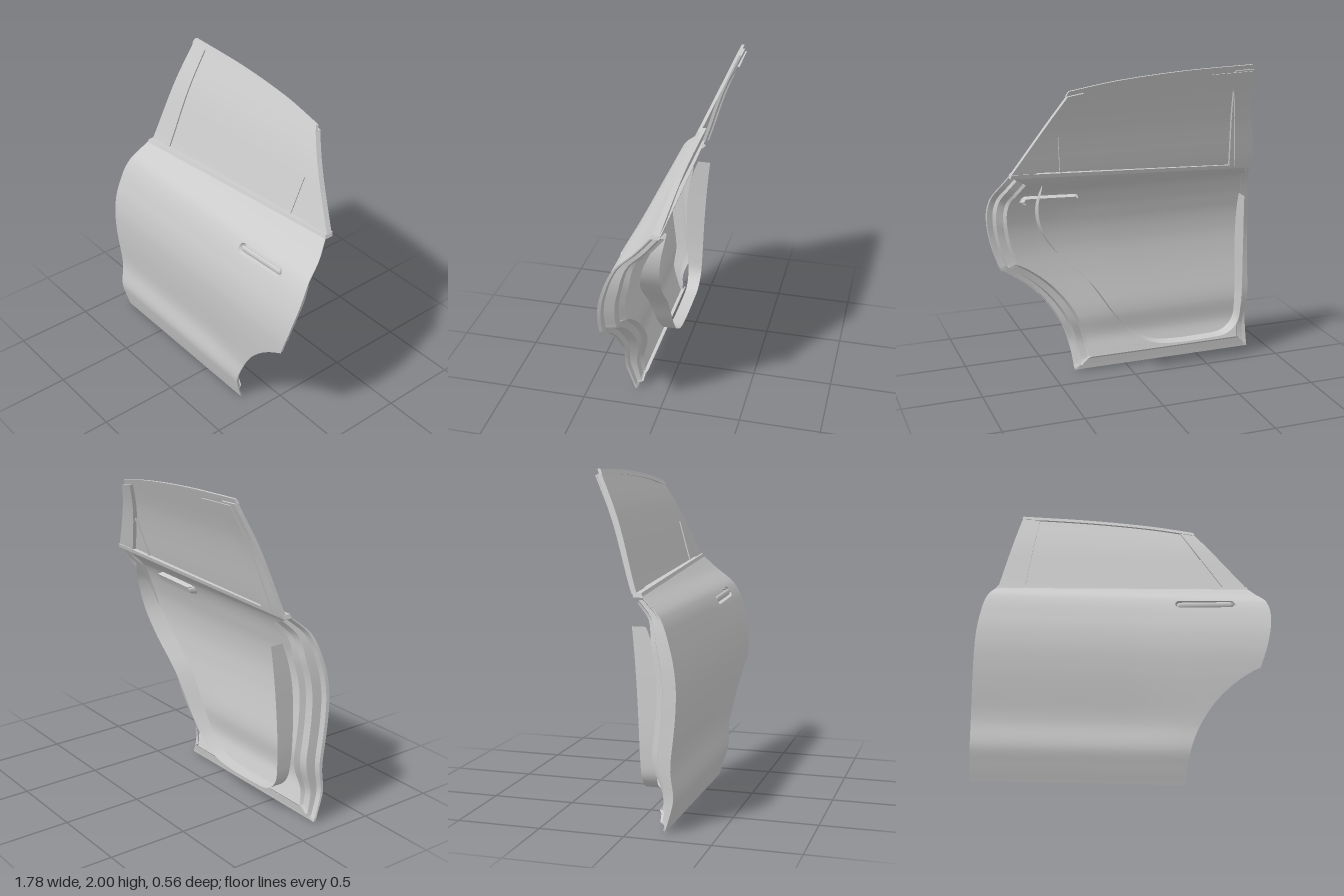
import * as THREE from 'three';
import { mergeGeometries, toCreasedNormals } from 'three/addons/utils/BufferGeometryUtils.js';

const grey = new THREE.MeshStandardMaterial({ color: 0xcccccc, side: THREE.DoubleSide });
const { lerp, clamp, smoothstep: smooth } = THREE.MathUtils;

// Smooth curve through [t, value] pairs
function through(pts) {
  const slope = (i) => {
    const a = pts[Math.max(i - 1, 0)], b = pts[Math.min(i + 1, pts.length - 1)];
    return (b[1] - a[1]) / (b[0] - a[0]);
  };
  return (t) => {
    let i = 0;
    while (i < pts.length - 2 && t > pts[i + 1][0]) i++;
    const [t0, p0] = pts[i], [t1, p1] = pts[i + 1], h = t1 - t0;
    const s = clamp((t - t0) / h, 0, 1), s2 = s * s, s3 = s2 * s;
    return (2 * s3 - 3 * s2 + 1) * p0 + (s3 - 2 * s2 + s) * h * slope(i)
      + (3 * s2 - 2 * s3) * p1 + (s3 - s2) * h * slope(i + 1);
  };
}

// Surface patch from f(u, v) -> [x, y, z]
function patch(f, nu, nv) {
  const pos = [], index = [];
  for (let j = 0; j <= nv; j++) for (let i = 0; i <= nu; i++) pos.push(...f(i / nu, j / nv));
  for (let j = 0; j < nv; j++) for (let i = 0; i < nu; i++) {
    const a = j * (nu + 1) + i, c = a + nu + 1;
    index.push(a, a + 1, c, a + 1, c + 1, c);
  }
  const geo = new THREE.BufferGeometry();
  geo.setAttribute('position', new THREE.Float32BufferAttribute(pos, 3));
  geo.setIndex(index);
  geo.computeVertexNormals();
  return geo;
}

// Region between two side edges and two height curves, laid on a z surface
function region(xl, xr, y0, y1, z) {
  return (u, v) => {
    const x = lerp(xl(v), xr(v), u), y = lerp(y0(x), y1(x), v);
    return [x, y, z(x, y)];
  };
}

// Closed slab: front, back and four edge walls
function slab(f, thick, nu, nv) {
  const at = (u, v, w) => { const [x, y, z] = f(u, v); return [x, y, z - w * thick]; };
  return mergeGeometries([
    patch((u, v) => at(u, v, 0), nu, nv),
    patch((u, v) => at(1 - u, v, 1), nu, nv),
    patch((u, w) => at(u, 0, 1 - w), nu, 1),
    patch((u, w) => at(u, 1, w), nu, 1),
    patch((v, w) => at(0, v, w), nv, 1),
    patch((v, w) => at(1, v, 1 - w), nv, 1),
  ]);
}

// Door outline
const belt = (x) => 1.31 + 0.08 * (x + 0.79) / 1.59;
const frontEdge = through([[0, -0.88], [0.6, -0.89], [0.9, -0.885], [1.1, -0.86], [1.2, -0.835], [1.31, -0.79]]);
const rearUpper = through([[0.71, 0.8], [0.9, 0.86], [1.1, 0.89], [1.25, 0.865], [1.39, 0.8]]);
const rearEdge = (y) => (y < 0.71 ? 1.135 - Math.sqrt(0.785 ** 2 - y * y) : rearUpper(y));
const roof = through([[-0.65, 2], [-0.2, 1.985], [0.2, 1.95], [0.5, 1.9]]);

// Outward bulge of the lower skin and of the window plane
const skinProfile = through([[0, 0.2], [0.1, 0.23], [0.2, 0.255], [0.35, 0.252], [0.68, 0.277],
  [0.85, 0.277], [1.02, 0.245], [1.2, 0.165], [1.31, 0.045], [1.4, -0.04]]);
function skinZ(x, y) {
  const front = 1 - smooth(x, 0, 0.6);
  return skinProfile(y) - front * (0.012 * smooth(y, 0.3, 0.6) * (1 - smooth(y, 1, 1.3))
    + 0.016 * Math.exp(-(((y - 0.37) / 0.14) ** 2)));
}
const windowProfile = through([[1.25, 0.04], [1.35, 0], [1.72, -0.12], [2, -0.245]]);
const windowZ = (d) => (x, y) => windowProfile(y) - 0.018 * (x + 0.7) + d;

// Lower skin with a handle pocket pressed into it
function skinGeometry() {
  const base = region((v) => frontEdge(v * 1.31), (v) => rearEdge(v * 1.39), () => 0, belt, skinZ);
  const geo = patch((u, v) => {
    let [x, y] = base(u, v);
    const s = clamp((x - 0.34) / 0.31, 0, 1);
    const cx = 0.34 + 0.31 * s, cy = 1.158 + 0.015 * s;
    const r = Math.hypot(x - cx, y - cy), d = r - 0.031;
    if (Math.abs(d) < 0.0065) {
      x = cx + (x - cx) * 0.031 / r;
      y = cy + (y - cy) * 0.031 / r;
    }
    return [x, y, skinZ(x, y) - (d <= -0.0065 ? 0.042 : 0)];
  }, 150, 125);
  return toCreasedNormals(geo, 0.6);
}

// Folded jamb running down the front, along the bottom and up the rear
function jambGeometry() {
  const path = [];
  for (let i = 0; i < 40; i++) { const y = 1.3 * (1 - i / 40); path.push([frontEdge(y), y]); }
  for (let i = 0; i < 30; i++) path.push([lerp(-0.88, 0.35, i / 30), 0]);
  for (let i = 0; i <= 60; i++) { const y = 1.385 * i / 60; path.push([rearEdge(y), y]); }
  const fold = [[0, 0], [0.004, 0.02], [0.035, 0.03], [0.045, 0.09], [0.085, 0.105], [0.1, 0.14]];
  const last = path.length - 1;
  const strips = [];
  for (let k = 0; k < fold.length - 1; k++) {
    strips.push(patch((u, v) => {
      const i = Math.round(u * last);
      const [x, y] = path[i], a = path[Math.max(i - 1, 0)], b = path[Math.min(i + 1, last)];
      const tx = b[0] - a[0], ty = b[1] - a[1], len = Math.hypot(tx, ty);
      const inward = lerp(fold[k][0], fold[k + 1][0], v);
      const depth = lerp(fold[k][1], fold[k + 1][1], v) * lerp(0.42, 1, smooth(y, 0, 0.45))
        * lerp(1, 0.45, smooth(y, 1, 1.35));
      // the clamps mitre the two bottom corners
      const py = Math.max(y + tx / len * inward, inward);
      const px = clamp(x - ty / len * inward, frontEdge(py) + inward, rearEdge(py) - inward);
      return [px, py, skinZ(x, y) - depth];
    }, last, 1));
  }
  return mergeGeometries(strips);
}

// Inner U-shaped rim standing behind the skin
function rimGeometry() {
  const path = new THREE.CatmullRomCurve3([[-0.72, 1.13], [-0.735, 0.8], [-0.74, 0.4], [-0.72, 0.26], [-0.65, 0.19],
    [-0.5, 0.172], [-0.15, 0.19], [0, 0.27], [0.1, 0.38], [0.28, 0.64], [0.5, 0.87], [0.6, 1.03], [0.63, 1.18],
    [0.61, 1.32]].map(([x, y]) => new THREE.Vector3(x, y, 0)));
  const outer = through([[0.17, 0.1], [0.45, 0.12], [0.82, 0.12], [1.05, 0.075], [1.26, -0.02], [1.32, -0.06]]);
  const inner = through([[0.17, 0.02], [0.68, 0], [1.1, -0.035], [1.32, -0.075]]);
  return patch((u, v) => {
    const p = path.getPoint(u);
    return [p.x, p.y, lerp(inner(p.y), outer(p.y), v)];
  }, 120, 2);
}

export function createModel() {
  const group = new THREE.Group();
  const add = (name, geo) => {
    const mesh = new THREE.Mesh(geo, grey);
    mesh.name = name;
    group.add(mesh);
    return mesh;
  };
  const line = (a, b) => (v) => lerp(a, b, v);
  const sill = (x) => belt(x) + 0.01;
  const header = (x) => roof(x) - 0.028;

  // Lower door
  add('outerSkin', skinGeometry());
  add('jamb', jambGeometry());
  add('innerRim', rimGeometry());

  // Handle bar in its pocket
  const handle = add('handle', new THREE.CapsuleGeometry(0.021, 0.305, 6, 16));
  handle.rotation.z = Math.PI / 2 + 0.048;
  handle.scale.z = 0.6;
  handle.position.set(0.495, 1.16, skinZ(0.495, 1.16) - 0.014);

  // Window frame
  add('frontPillar', slab(region(line(-0.785, -0.655), line(-0.617, -0.54), sill, header, windowZ(0)), 0.03, 4, 20));
  add('rearPillar', slab(region(line(0.65, 0.4), line(0.798, 0.495), sill, header, windowZ(0)), 0.035, 4, 20));
  add('topRail', slab(region(line(-0.66, -0.65), line(0.5, 0.485), header, roof, windowZ(0.004)), 0.018, 40, 2));
  const trimZ = (x, y) => windowZ(lerp(0.03, 0.012, (x + 0.79) / 1.59))(x, y);
  add('beltTrim', slab(region(line(-0.792, -0.785), line(0.802, 0.795), (x) => belt(x) - 0.008,
    (x) => belt(x) + 0.017, trimZ), 0.055, 40, 2));

  // Main glass and small rear glass
  const glassRear = (v) => (v < 0.5 ? lerp(0.49, 0.52, v * 2) : lerp(0.52, 0.4, v * 2 - 1));
  add('windowGlass', patch(region(line(-0.617, -0.54), glassRear, sill, header, windowZ(-0.01)), 30, 30));
  add('quarterGlass', patch(region(line(0.49, 0.52), line(0.65, 0.52), sill, () => 1.64, windowZ(-0.01)), 6, 12));
  add('quarterBar', slab(region(line(0.483, 0.513), line(0.495, 0.525), sill, () => 1.64, windowZ(-0.003)), 0.02, 1, 8));

  // Inner lining of the front pillar, widening into a rounded upper corner
  const liningRear = through([[0, -0.645], [0.5, -0.59], [0.8, -0.545], [0.93, -0.48], [1, -0.38]]);
  add('pillarLining', slab(region(line(-0.73, -0.635), liningRear, sill, (x) => header(x) - 0.008,
    windowZ(-0.04)), 0.01, 8, 40));

  return group;
}
